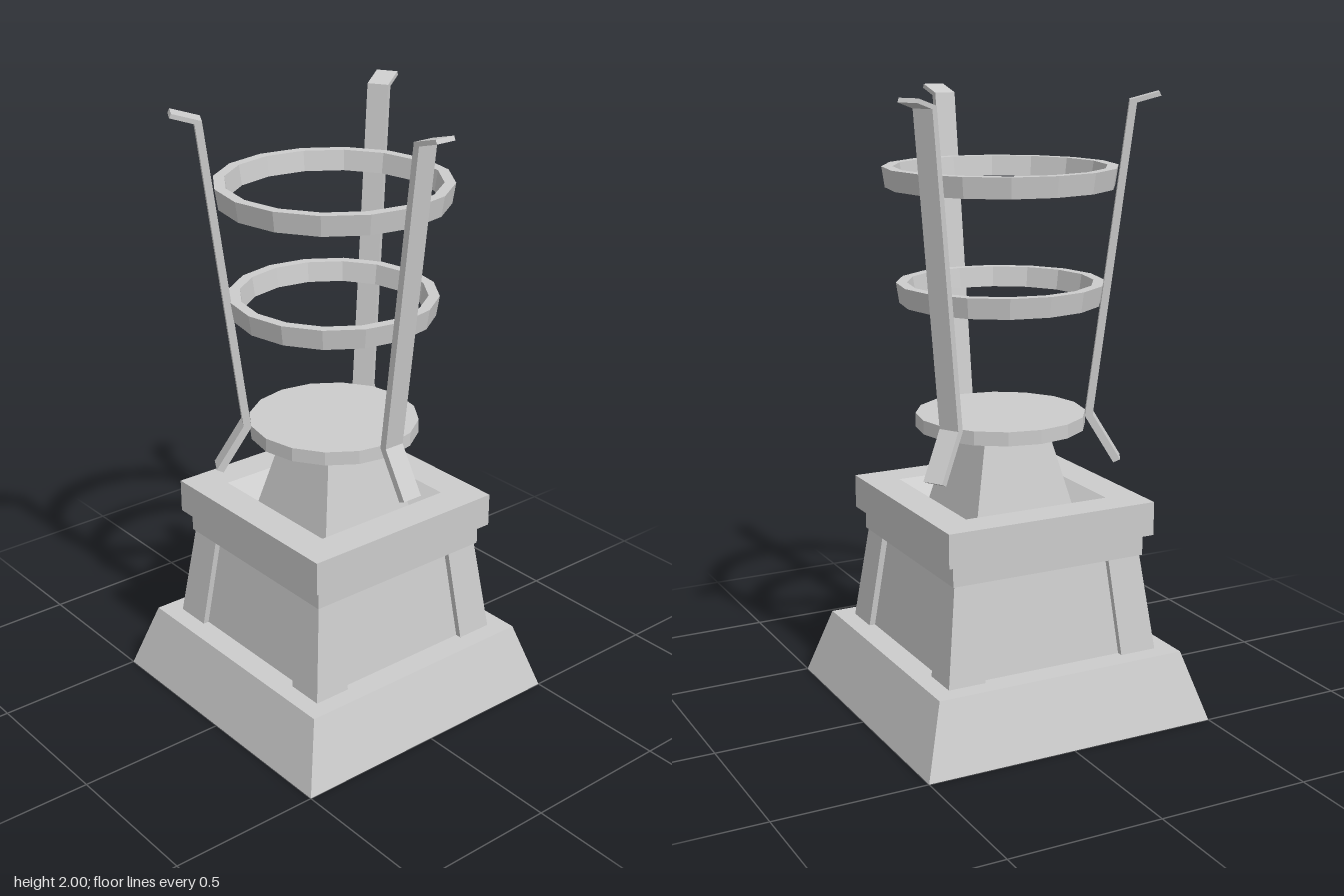
import * as THREE from 'three';

const stone = new THREE.MeshStandardMaterial({ color: 0xcccccc, side: THREE.DoubleSide });
stone.name = 'light grey';

function add(parent, name, geometry) {
  const g = geometry.index ? geometry.toNonIndexed() : geometry;
  g.computeVertexNormals();
  const mesh = new THREE.Mesh(g, stone);
  mesh.name = name;
  parent.add(mesh);
  return mesh;
}

// turned profile of [radius, height] points, running upward on the outside
function turned(points, sides) {
  return new THREE.LatheGeometry(points.map(([r, y]) => new THREE.Vector2(r, y)), sides, Math.PI / 2);
}

// square shell from [half width, height] points
function square(points) {
  const g = new THREE.LatheGeometry(
    points.map(([h, y]) => new THREE.Vector2(h * Math.SQRT2, y)), 4, Math.PI / 4);
  return g;
}

export function createModel() {
  const model = new THREE.Group();
  model.name = 'brazier';

  // hollow plinth, recessed panels, trim with sunken top
  add(model, 'plinth', square([[0.5, 0], [0.43, 0.225], [0.345, 0.225]]));
  add(model, 'pedestalPanels', square([[0.35, 0.225], [0.31, 0.54]]));
  add(model, 'pedestalTrim', square([
    [0, 0.54], [0.337, 0.54], [0.337, 0.61], [0.362, 0.61], [0.362, 0.72],
    [0.25, 0.72], [0.18, 0.65]]));
  add(model, 'neck', square([[0.18, 0.65], [0.113, 0.93]]));

  // tapered corner posts
  for (let i = 0; i < 4; i++) {
    const g = new THREE.BoxGeometry(1, 1, 1);
    const p = g.attributes.position;
    for (let v = 0; v < p.count; v++) {
      const top = p.getY(v) > 0;
      const inner = top ? 0.215 : 0.245, outer = top ? 0.33 : 0.37;
      p.setXYZ(v, p.getX(v) > 0 ? outer : inner, top ? 0.54 : 0.225,
        p.getZ(v) > 0 ? outer : inner);
    }
    add(model, 'cornerPost', g).rotation.y = i * Math.PI / 2;
  }

  // fire plate
  add(model, 'plate', turned([[0, 0.935], [0.275, 0.935], [0.275, 0.98], [0, 0.98]], 16));

  // flared hoops: bottom, top, lower and upper outer radius
  for (const [name, y0, y1, r0, r1] of [
    ['lowerHoop', 1.34, 1.405, 0.322, 0.332],
    ['upperHoop', 1.705, 1.77, 0.362, 0.372]]) {
    const t = 0.035;
    add(model, name, turned([[r0 - t, y0], [r0, y0], [r1, y1], [r1 - t, y1], [r0 - t, y0]], 16));
  }

  // three bent straps with splayed feet and lips
  const outline = new THREE.Shape([
    [0.365, 0.822], [0.387, 0.832], [0.297, 0.98], [0.42, 1.966],
    [0.494, 1.987], [0.488, 2.0], [0.398, 1.975], [0.272, 0.975],
  ].map(([x, y]) => new THREE.Vector2(x, y)));
  for (let i = 0; i < 3; i++) {
    const g = new THREE.ExtrudeGeometry(outline, { depth: 0.07, bevelEnabled: false });
    g.translate(0, 0, -0.035);
    add(model, 'strap', g).rotation.y = i * Math.PI * 2 / 3;
  }
  return model;
}
